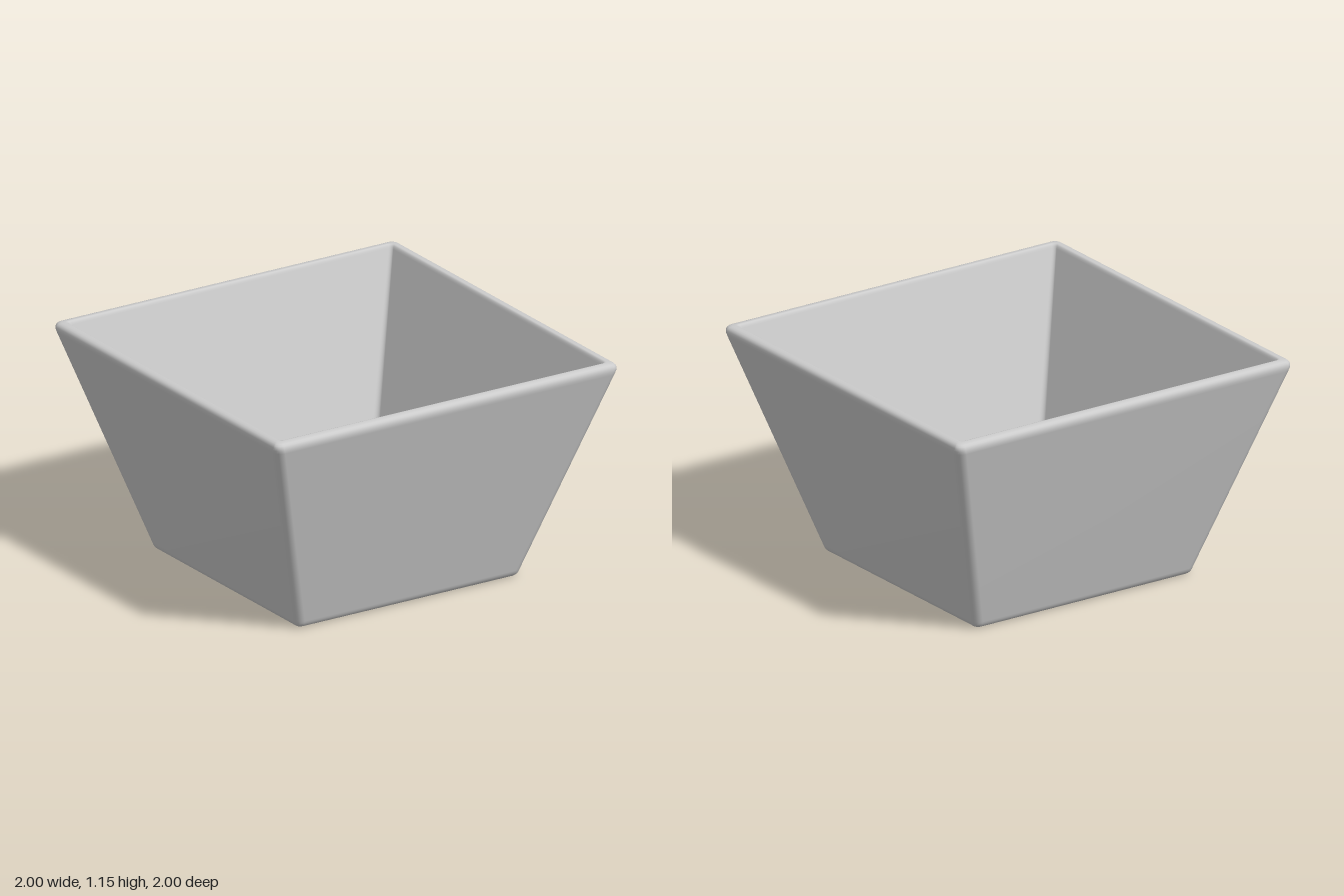
import * as THREE from 'three';
import { mergeVertices } from 'three/addons/utils/BufferGeometryUtils.js';

const CORNER_STEPS = 6;

// One rounded-square ring: half width h, height y, corner radius r
function ring(h, y, r) {
  const points = [];
  for (let corner = 0; corner < 4; corner++) {
    const mid = (corner + 0.5) * Math.PI / 2;
    const cx = Math.sign(Math.cos(mid)) * (h - r);
    const cz = Math.sign(Math.sin(mid)) * (h - r);
    for (let i = 0; i <= CORNER_STEPS; i++) {
      const a = (corner + i / CORNER_STEPS) * Math.PI / 2;
      points.push(cx + r * Math.cos(a), y, cz + r * Math.sin(a));
    }
  }
  return points;
}

// Skin a list of [h, y, r] sections into a smooth surface
function loft(sections) {
  const n = 4 * (CORNER_STEPS + 1);
  const positions = sections.flatMap(([h, y, r]) => ring(h, y, r));
  const index = [];
  for (let i = 0; i < sections.length - 1; i++) {
    for (let j = 0; j < n; j++) {
      const k = (j + 1) % n;
      const a = i * n + j, b = i * n + k, c = a + n, d = b + n;
      index.push(a, c, b, b, c, d);
    }
  }
  let geometry = new THREE.BufferGeometry();
  geometry.setAttribute('position', new THREE.Float32BufferAttribute(positions, 3));
  geometry.setIndex(index);
  geometry = mergeVertices(geometry, 1e-5);
  geometry.computeVertexNormals();
  return geometry;
}

// Rounded profile edge from a to b, bending around c; corner radius blends r0 to r1
function bend(a, c, b, r0, r1, steps = 6) {
  const curve = new THREE.QuadraticBezierCurve(
    new THREE.Vector2(...a), new THREE.Vector2(...c), new THREE.Vector2(...b));
  return curve.getPoints(steps).map((p, i) => [p.x, p.y, r0 + (r1 - r0) * i / steps]);
}

export function createModel() {
  const group = new THREE.Group();
  group.name = 'squareBowl';

  const sections = [
    [0, 0, 0], // centre of the underside
    ...bend([0.615, 0], [0.648, 0], [0.661, 0.04], 0.012, 0.045), // foot edge
    ...bend([0.996, 1.1], [1.013, 1.155], [0.962, 1.155], 0.045, 0.025), // outer rim
    ...bend([0.957, 1.155], [0.948, 1.155], [0.942, 1.135], 0.025, 0.02, 4), // inner rim
    ...bend([0.609, 0.085], [0.601, 0.06], [0.58, 0.06], 0.03, 0.012), // floor edge
    [0, 0.06, 0], // centre of the floor
  ];

  const bowl = new THREE.Mesh(
    loft(sections), new THREE.MeshStandardMaterial({ color: 0xcccccc }));
  bowl.name = 'bowl';
  group.add(bowl);
  return group;
}
